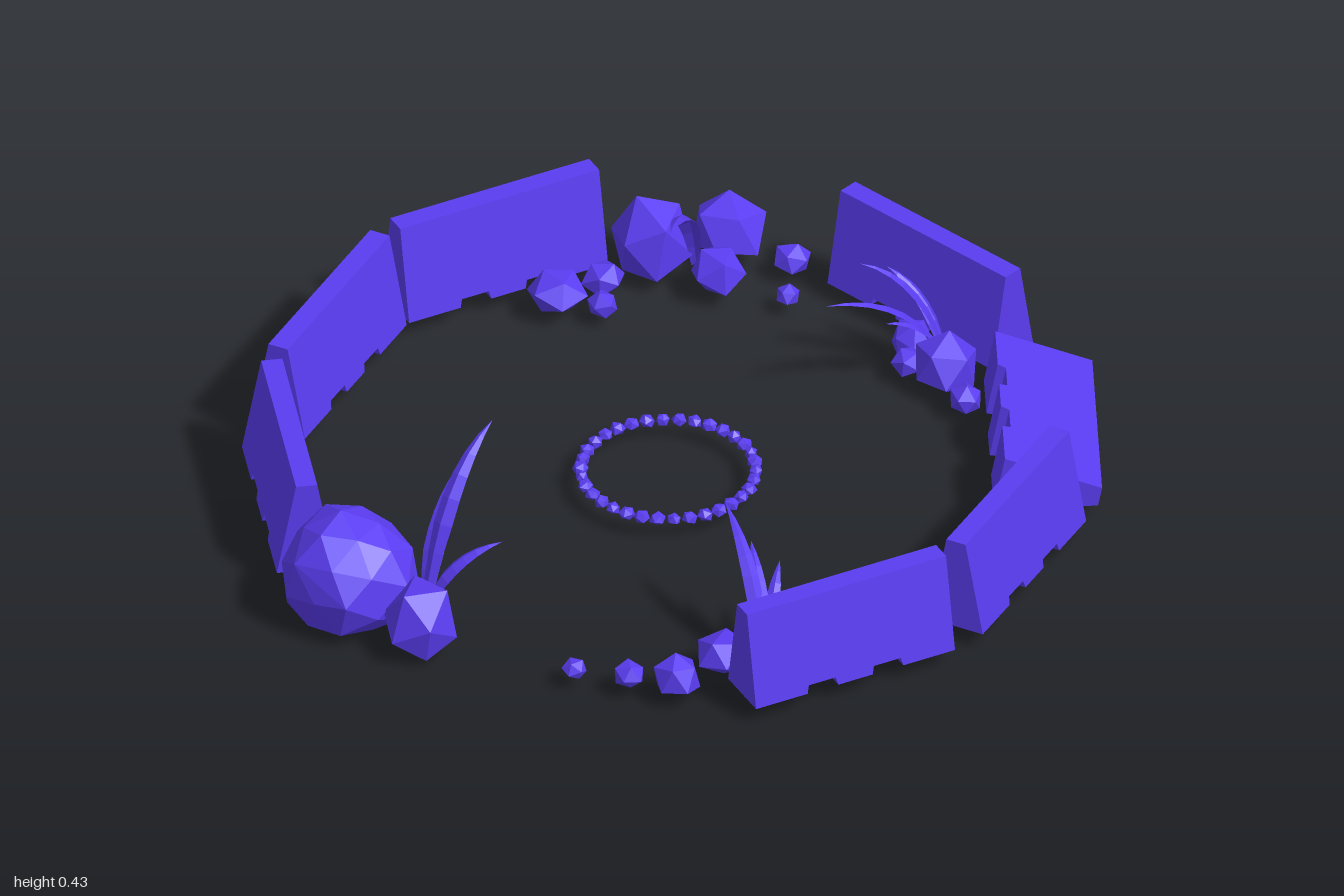
import * as THREE from 'three';
import { ConvexGeometry } from 'three/addons/geometries/ConvexGeometry.js';

const stone = new THREE.MeshStandardMaterial({ color: 0x5a3cf0, flatShading: true });
const leaf = new THREE.MeshStandardMaterial({ color: 0x5a3cf0, flatShading: true, side: THREE.DoubleSide });

let seed = 7;
function rand() {
  seed = (seed * 16807) % 2147483647;
  return seed / 2147483647;
}

// Road barrier: notched side outline, extruded and tapered towards the top
function barrierGeometry() {
  const L = 0.26, H = 0.238, notch = 0.02;
  const s = new THREE.Shape();
  s.moveTo(-L, 0);
  for (const c of [-0.085, 0.085]) {
    s.lineTo(c - 0.04, 0);
    s.lineTo(c - 0.035, notch);
    s.lineTo(c + 0.035, notch);
    s.lineTo(c + 0.04, 0);
  }
  s.lineTo(L, 0);
  s.lineTo(L, H);
  s.lineTo(-L, H);
  const g = new THREE.ExtrudeGeometry(s, { depth: 2, bevelEnabled: false });
  const p = g.attributes.position;
  for (let i = 0; i < p.count; i++) {
    const half = THREE.MathUtils.lerp(0.07, 0.025, p.getY(i) / H);
    p.setZ(i, (p.getZ(i) - 1) * half);
  }
  g.computeVertexNormals();
  return g;
}

// Faceted rock with a flat underside; r is its radius, h its height
function rock(name, x, z, r, h, y = 0.035) {
  const src = new THREE.IcosahedronGeometry(1, r > 0.12 ? 1 : 0).attributes.position;
  const spin = new THREE.Euler(rand() * 6, rand() * 6, rand() * 6);
  const seen = new Map();
  for (let i = 0; i < src.count; i++) {
    const v = new THREE.Vector3().fromBufferAttribute(src, i);
    const key = v.toArray().map(n => Math.round(n * 100)).join();
    if (seen.has(key)) continue;
    v.applyEuler(spin).multiplyScalar(0.92 + rand() * 0.16);
    v.y = Math.max(v.y, -0.5);
    seen.set(key, new THREE.Vector3(v.x * r * 1.04, (v.y + 0.5) / 1.45 * h, v.z * r * 1.04));
  }
  const m = new THREE.Mesh(new ConvexGeometry([...seen.values()]), stone);
  m.name = name;
  m.position.set(x, y, z);
  return m;
}

// Curved grass blade: folded strip swept from base to tip
function blade(base, tip, width) {
  const a = new THREE.Vector3(...base), b = new THREE.Vector3(...tip);
  const mid = a.clone().lerp(b, 0.28);
  mid.y = a.y + (b.y - a.y) * 0.85;
  const curve = new THREE.QuadraticBezierCurve3(a, mid, b);
  const side = new THREE.Vector3(b.z - a.z, 0, a.x - b.x).normalize();
  const N = 8, pos = [], idx = [];
  for (let i = 0; i <= N; i++) {
    const t = i / N, c = curve.getPoint(t);
    const w = width * 0.5 * (0.45 + 1.5 * t) * Math.min(1, (1 - t) * 1.6);
    const fold = curve.getTangent(t).cross(side).normalize().multiplyScalar(w * 0.5);
    for (const k of [-1, 0, 1]) {
      const q = c.clone().addScaledVector(side, k * w);
      if (k === 0) q.add(fold);
      pos.push(q.x, q.y, q.z);
    }
    if (i < N) for (const k of [0, 1]) {
      const o = i * 3 + k;
      idx.push(o, o + 1, o + 3, o + 1, o + 4, o + 3);
    }
  }
  const g = new THREE.BufferGeometry();
  g.setAttribute('position', new THREE.Float32BufferAttribute(pos, 3));
  g.setIndex(idx);
  g.computeVertexNormals();
  const m = new THREE.Mesh(g, leaf);
  m.name = 'grassBlade';
  return m;
}

export function createModel() {
  const model = new THREE.Group();
  model.name = 'barrierArena';
  const group = name => {
    const g = new THREE.Group();
    g.name = name;
    model.add(g);
    return g;
  };

  // Standing barriers: x, z and the direction of their length
  const barriers = group('barriers'), geo = barrierGeometry();
  for (const [x, z, dx, dz] of [
    [-0.925, 0, 0, 1], [-0.75, -0.52, 58, -80], [-0.31, -0.845, 92, -31],
    [0.665, -0.545, 61, 77], [0.68, 0.51, -59, 80], [0.24, 0.83, 92, -31],
  ]) {
    const m = new THREE.Mesh(geo, stone);
    m.name = 'standingBarrier';
    m.position.set(x, 0.045, z);
    m.rotation.y = Math.atan2(-dz, dx);
    barriers.add(m);
  }

  // Barrier lying on its side with its feet towards the middle
  const fallen = new THREE.Mesh(geo, stone);
  fallen.name = 'fallenBarrier';
  fallen.rotation.set(1.76, 1.458, 0, 'YXZ');
  fallen.position.set(0.73, 0.11, -0.005);
  barriers.add(fallen);

  // Boulders and loose rocks: x, z, radius, height
  const rocks = group('rocks');
  rocks.add(rock('bigBoulder', -0.845, 0.395, 0.15, 0.25, 0.03));
  rocks.add(rock('smallBoulder', -0.705, 0.565, 0.092, 0.17, 0.02));
  for (const [x, z, r, h] of [
    [0.06, -0.865, 0.095, 0.18], [0.245, -0.905, 0.09, 0.14], [0.2, -0.755, 0.065, 0.1],
    [-0.18, -0.735, 0.068, 0.09], [-0.065, -0.785, 0.05, 0.07], [-0.08, -0.69, 0.036, 0.05],
    [0.38, -0.8, 0.046, 0.06], [0.35, -0.665, 0.028, 0.04],
    [0.66, -0.29, 0.078, 0.12], [0.6, -0.42, 0.05, 0.08], [0.69, -0.175, 0.04, 0.06], [0.58, -0.345, 0.04, 0.06],
    [0.435, 0.635, 0.036, 0.045], [0.495, 0.56, 0.027, 0.035],
    [-0.025, 0.775, 0.065, 0.085], [-0.15, 0.85, 0.055, 0.09], [-0.255, 0.81, 0.037, 0.055], [-0.375, 0.76, 0.029, 0.04],
    [0.1, 0.74, 0.05, 0.07], [0.18, 0.7, 0.037, 0.05], [0.12, 0.665, 0.028, 0.04],
  ]) rocks.add(rock('looseRock', x, z, r, h));

  // Ring of pebbles in the middle
  const ring = group('pebbleRing');
  for (let i = 0; i < 34; i++) {
    const a = i / 34 * Math.PI * 2;
    ring.add(rock('pebble', -0.035 + 0.203 * Math.cos(a), -0.005 + 0.203 * Math.sin(a),
      0.015 + rand() * 0.005, 0.025, 0.043));
  }

  // Grass tufts: a base followed by blade tips and a width
  const grass = group('grass');
  for (const [base, width, tips] of [
    [[-0.68, 0.03, 0.46], 0.05, [[-0.565, 0.28, 0.23], [-0.49, 0.43, 0.27], [-0.495, 0.21, 0.45]]],
    [[0.16, 0.04, -0.83], 0.05, [[0.05, 0.355, -0.52]]],
    [[0.68, 0, -0.365], 0.04, [[0.37, 0.31, -0.235], [0.47, 0.335, -0.36], [0.55, 0.25, -0.46], [0.52, 0.2, -0.3]]],
    [[0.07, 0, 0.79], 0.04, [[0.015, 0.32, 0.53], [0.065, 0.25, 0.59], [0.13, 0.2, 0.61]]],
  ]) for (const tip of tips) grass.add(blade(base, tip, width));

  return model;
}
